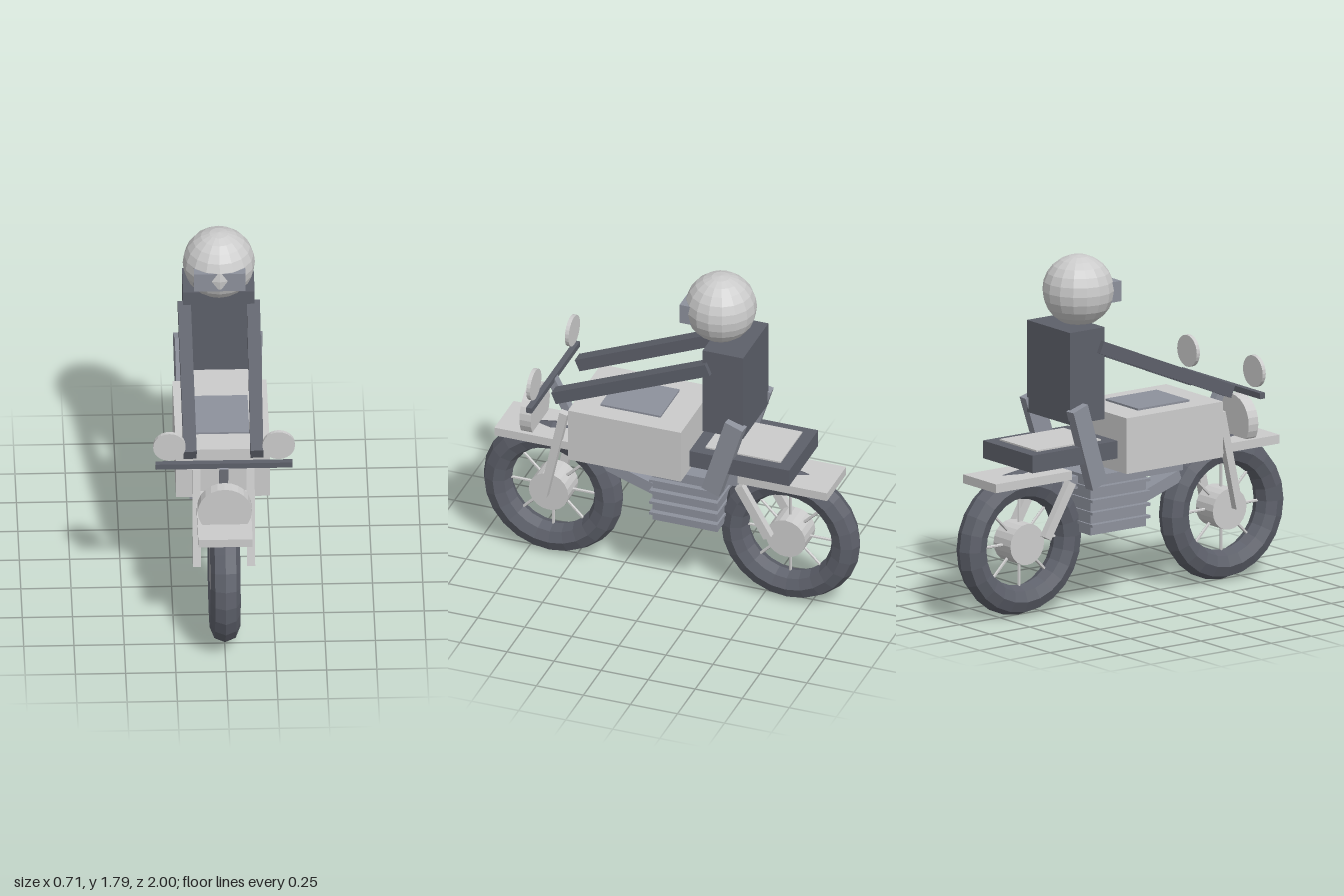
import * as THREE from 'three';

const material = (color) => new THREE.MeshStandardMaterial({ color, flatShading: true });

export function createModel() {
  const model = new THREE.Group();
  const light = material(0xcccccc);
  const mid = material(0x8d919c);
  const dark = material(0x5d606a);

  const add = (name, geometry, mat, x = 0, y = 0, z = 0, parent = model) => {
    const mesh = new THREE.Mesh(geometry, mat);
    mesh.name = name;
    mesh.position.set(x, y, z);
    parent.add(mesh);
    return mesh;
  };

  // Box given by its half width in x and its y and z ranges
  const block = (name, mat, halfX, y0, y1, z0, z1) =>
    add(name, new THREE.BoxGeometry(2 * halfX, y1 - y0, z1 - z0), mat, 0, (y0 + y1) / 2, (z0 + z1) / 2);

  // Rectangular bar running from a to b
  const bar = (name, mat, width, depth, a, b) => {
    const start = new THREE.Vector3(...a), end = new THREE.Vector3(...b);
    const mesh = add(name, new THREE.BoxGeometry(width, depth, start.distanceTo(end)), mat);
    mesh.position.copy(start).lerp(end, 0.5);
    mesh.lookAt(end);
    return mesh;
  };

  const disc = (radius, depth, sides, axis) => {
    const geometry = new THREE.CylinderGeometry(radius, radius, depth, sides);
    return axis === 'x' ? geometry.rotateZ(Math.PI / 2) : geometry.rotateX(Math.PI / 2);
  };

  // Wheels with tyre, hub and eight spokes
  for (const [name, z] of [['frontWheel', 0.63], ['rearWheel', -0.63]]) {
    const wheel = new THREE.Group();
    wheel.name = name;
    wheel.position.set(0, 0.375, z);
    model.add(wheel);
    add('tyre', new THREE.TorusGeometry(0.295, 0.075, 8, 24).rotateY(Math.PI / 2), dark, 0, 0, 0, wheel);
    add('hub', disc(0.105, 0.14, 20, 'x'), light, 0, 0, 0, wheel);
    for (let i = 0; i < 8; i++) {
      const spoke = new THREE.CylinderGeometry(0.008, 0.008, 0.15, 6).translate(0, 0.15, 0);
      add('spoke', spoke, light, 0, 0, 0, wheel).rotation.x = i * Math.PI / 4;
    }
  }

  // Mudguards and tail light
  block('frontMudguard', light, 0.135, 0.685, 0.73, 0.37, 0.893);
  block('rearMudguard', light, 0.135, 0.685, 0.73, -0.875, -0.4);
  block('tailLight', light, 0.05, 0.62, 0.685, -0.815, -0.765);

  // Frame
  block('frameBeam', mid, 0.05, 0.61, 0.675, -0.4, 0.355);
  bar('downTube', mid, 0.1, 0.06, [0, 0.585, 0.34], [0, 0.415, -0.16]);

  // Engine with cooling fins
  block('engine', mid, 0.155, 0.39, 0.69, -0.3, 0.045);
  for (let i = 0; i < 4; i++) {
    const y = 0.435 + i * 0.063;
    block('coolingFin', mid, 0.185, y, y + 0.014, -0.31, 0.052);
  }

  // Tank and seat with their top panels
  block('tank', light, 0.234, 0.695, 0.98, -0.135, 0.465);
  block('tankPanel', mid, 0.135, 0.97, 0.99, 0.01, 0.33);
  block('seat', dark, 0.205, 0.775, 0.865, -0.7, -0.17);
  block('seatPanel', light, 0.153, 0.855, 0.873, -0.635, -0.235);

  // Steering and headlight
  bar('steeringStem', mid, 0.044, 0.044, [0, 0.83, 0.55], [0, 1.0, 0.635]);
  block('handlebar', dark, 0.34, 0.99, 1.02, 0.617, 0.647);
  add('headlight', disc(0.135, 0.06, 24, 'z'), light, 0, 0.805, 0.73);

  // Paired parts
  for (const s of [-1, 1]) {
    bar('fork', light, 0.04, 0.042, [s * 0.135, 0.395, 0.63], [s * 0.135, 0.9, 0.52]);
    bar('rearStrut', light, 0.04, 0.045, [s * 0.135, 0.675, -0.41], [s * 0.135, 0.41, -0.565]);
    add('mirror', disc(0.081, 0.02, 24, 'z'), light, s * 0.272, 1.12, 0.632);
    bar('arm', dark, 0.065, 0.065, [s * 0.166, 1.01, 0.555], [s * 0.172, 1.355, -0.265]);
    bar('leg', mid, 0.055, 0.1, [s * 0.182, 0.65, -0.283], [s * 0.192, 1.065, -0.412]);
  }

  // Rider
  block('torso', dark, 0.178, 0.98, 1.45, -0.445, -0.23);
  add('helmet', new THREE.SphereGeometry(0.18, 16, 12), light, 0, 1.612, -0.26);
  block('visor', mid, 0.128, 1.553, 1.657, -0.155, -0.088);

  return model;
}
